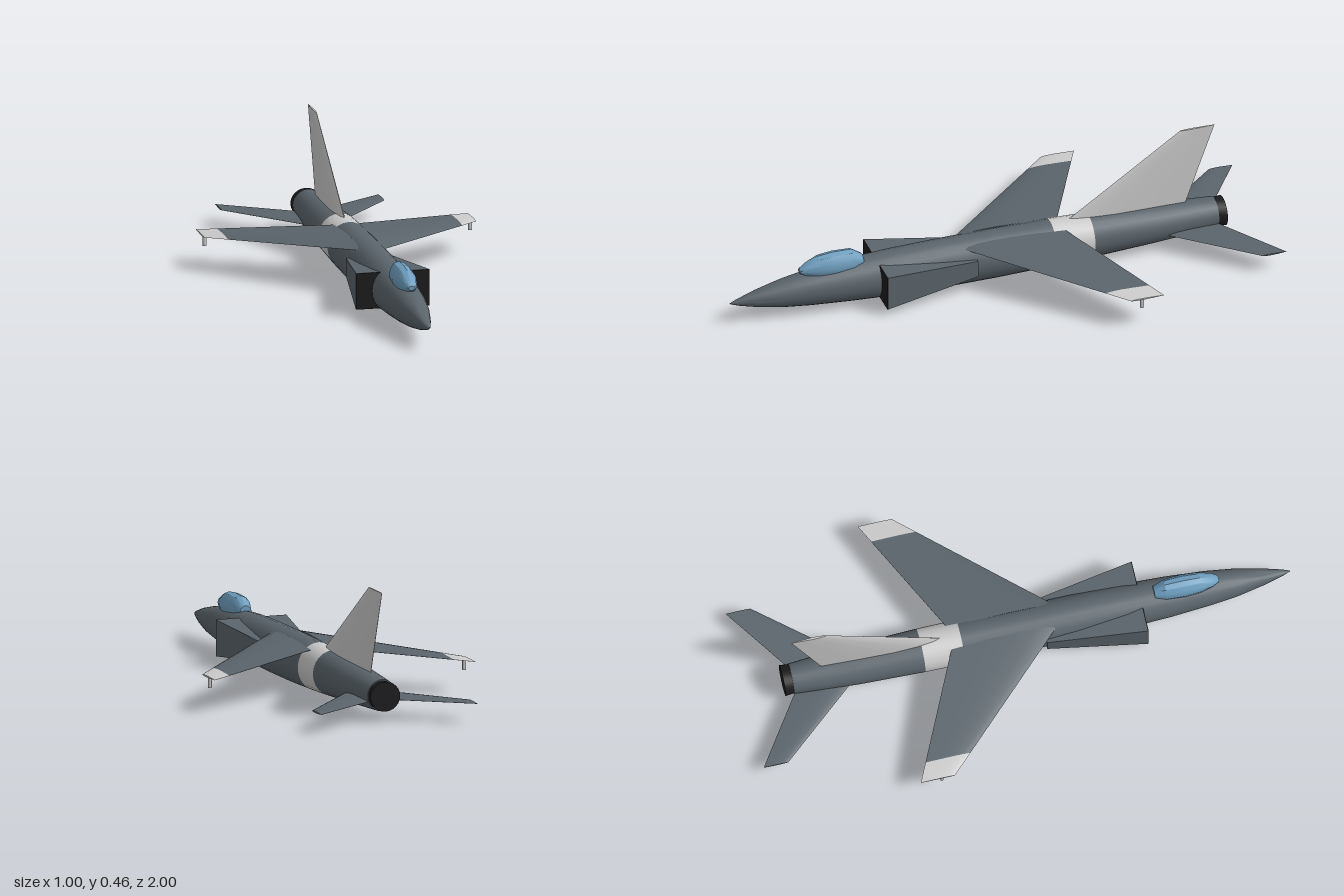
import * as THREE from 'three';
import { toCreasedNormals } from 'three/addons/utils/BufferGeometryUtils.js';

const V = (x, y, z) => new THREE.Vector3(x, y, z);
const lerp = THREE.MathUtils.lerp;

// Joins rings of equal point count into a closed solid, faces outward
function loft(rings, crease = 0.6) {
  const n = rings[0].length, tris = [];
  const mid = r => r.reduce((s, p) => s.add(p), V(0, 0, 0)).divideScalar(n);
  const first = rings[0], last = rings[rings.length - 1];
  const c0 = mid(first), c1 = mid(last);
  for (let i = 0; i < n; i++) {
    const j = (i + 1) % n;
    for (let k = 0; k < rings.length - 1; k++) {
      const a = rings[k], b = rings[k + 1];
      tris.push([a[i], a[j], b[j]], [a[i], b[j], b[i]]);
    }
    tris.push([c0, first[j], first[i]], [c1, last[i], last[j]]);
  }
  const volume = tris.reduce((s, [a, b, c]) => s + a.clone().sub(c0).dot(
    b.clone().sub(c0).cross(c.clone().sub(c0))), 0);
  const pos = tris
    .filter(([a, b, c]) => b.clone().sub(a).cross(c.clone().sub(a)).length() > 1e-9)
    .flatMap(t => (volume < 0 ? [t[0], t[2], t[1]] : t)).flatMap(p => p.toArray());
  const g = new THREE.BufferGeometry();
  g.setAttribute('position', new THREE.Float32BufferAttribute(pos, 3));
  return toCreasedNormals(g, crease);
}

// Elliptical ring across the body: z, centre height, half width, half height
function ellipse([z, y, rx, ry], n) {
  return Array.from({ length: n }, (_, i) => {
    const a = (i / n) * Math.PI * 2;
    return V(Math.sin(a) * rx, y + Math.cos(a) * ry, z);
  });
}

// Aerofoil section: chord fraction from the leading edge, share of half thickness
const FOIL = [[0, 0], [0.06, 0.5], [0.2, 0.9], [0.4, 1], [0.7, 0.6], [1, 0.06],
  [1, -0.06], [0.7, -0.6], [0.4, -1], [0.2, -0.9], [0.06, -0.5]];
const flatFoil = ({ x, y, le, te, t }, side) =>
  FOIL.map(([c, h]) => V(side * x, y + h * t, lerp(le, te, c)));
const uprightFoil = ({ y, le, te, t }) => FOIL.map(([c, h]) => V(h * t, y, lerp(le, te, c)));

export function createModel() {
  const model = new THREE.Group();
  model.name = 'jetAircraft';
  const mat = (color) => new THREE.MeshStandardMaterial({ color });
  const skin = mat(0x5a646b), pale = mat(0xcccccc), glass = mat(0x6f9fc0), black = mat(0x1c1c1e);
  const add = (name, geometry, material) => {
    const mesh = new THREE.Mesh(geometry, material);
    mesh.name = name;
    model.add(mesh);
    return mesh;
  };
  const body = (name, sections, material, n = 24, crease) =>
    add(name, loft(sections.map(s => ellipse(s, n)), crease), material);

  // Fuselage, split around the pale band
  const bandFront = [-0.21, 0.097, 0.08, 0.088], bandBack = [-0.355, 0.098, 0.079, 0.083];
  body('forwardFuselage', [
    [1, 0.088, 0.001, 0.001], [0.97, 0.088, 0.012, 0.012], [0.9, 0.09, 0.03, 0.032],
    [0.8, 0.093, 0.05, 0.052], [0.7, 0.096, 0.062, 0.066], [0.55, 0.097, 0.073, 0.078],
    [0.4, 0.097, 0.078, 0.087], [0.2, 0.096, 0.08, 0.092], [0, 0.096, 0.08, 0.092], bandFront,
  ], skin);
  body('fuselageBand', [bandFront, bandBack], pale);
  body('rearFuselage', [bandBack, [-0.6, 0.098, 0.072, 0.071], [-0.83, 0.097, 0.055, 0.058]], skin);
  body('exhaustNozzle', [[-0.82, 0.097, 0.052, 0.053], [-0.862, 0.097, 0.057, 0.054]], black);

  // Faceted cockpit canopy
  body('canopy', [
    [0.737, 0.172, 0.012, 0.008], [0.715, 0.174, 0.024, 0.023], [0.665, 0.175, 0.036, 0.046],
    [0.61, 0.175, 0.04, 0.052], [0.54, 0.175, 0.036, 0.05], [0.5, 0.175, 0.022, 0.022],
  ], glass, 12, 0.5);

  // Vertical fin
  add('fin', loft([
    { y: 0.16, le: -0.25, te: -0.72, t: 0.015 },
    { y: 0.468, le: -0.7, te: -0.83, t: 0.004 },
  ].map(uprightFoil)), pale);

  const root = { x: 0.04, y: 0.167, le: 0.14, te: -0.25, t: 0.011 };
  const tip = { x: 0.5, y: 0.124, le: -0.345, te: -0.47, t: 0.003 };
  const cut = {};
  for (const k in root) cut[k] = lerp(root[k], tip[k], 0.85);

  for (const [label, s] of [['left', 1], ['right', -1]]) {
    const foil = (name, sections, material) =>
      add(label + name, loft(sections.map(f => flatFoil(f, s))), material);

    // Swept wing with pale tip
    foil('Wing', [root, cut], skin);
    foil('WingTip', [cut, tip], pale);

    // Small post under the wing tip
    const post = add(label + 'TipPost', new THREE.CylinderGeometry(0.007, 0.007, 0.038, 10), pale);
    post.position.set(s * 0.488, 0.102, -0.39);

    // Tailplane
    foil('Tailplane', [
      { x: 0.03, y: 0.077, le: -0.59, te: -0.815, t: 0.007 },
      { x: 0.3, y: 0.075, le: -0.91, te: -1, t: 0.003 },
    ], skin);

    // Air intake: a box narrowing to the rear, dark at the mouth
    const frame = (z, x, y0, y1) =>
      [V(s * 0.045, y0, z), V(s * x, y0, z), V(s * x, y1, z), V(s * 0.045, y1, z)];
    add(label + 'Intake', loft([frame(0.447, 0.135, 0.031, 0.164), frame(0.09, 0.085, 0.065, 0.13)]), skin);
    add(label + 'IntakeMouth', loft([frame(0.45, 0.135, 0.031, 0.164), frame(0.447, 0.135, 0.031, 0.164)]), black);
  }
  return model;
}
